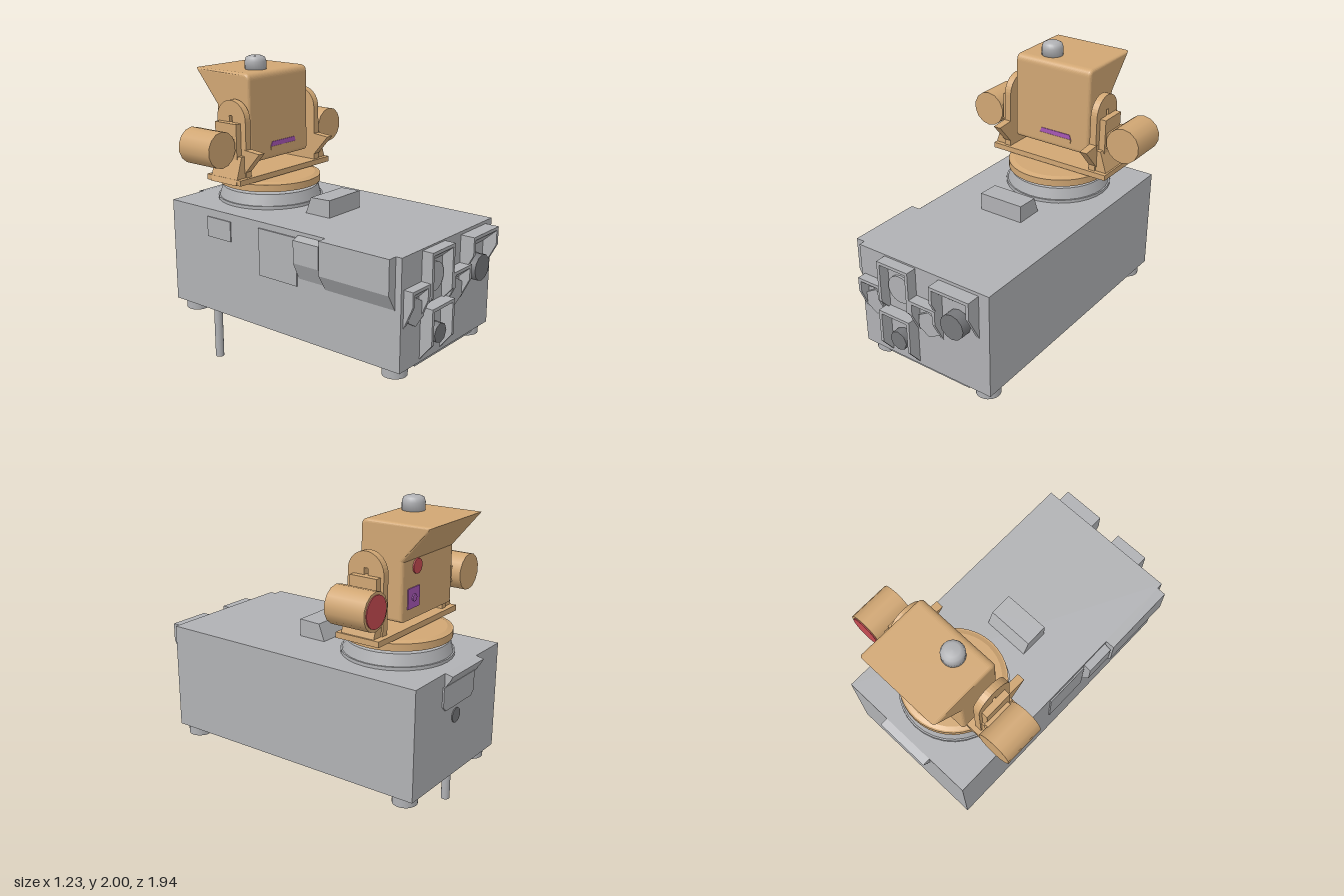
import * as THREE from 'three';

const mat = (name, color, side = THREE.FrontSide) => {
  const m = new THREE.MeshStandardMaterial({ color, side });
  m.name = name;
  return m;
};

export function createModel() {
  const grey = mat('light grey', 0xb0b1b4);
  const dark = mat('dark grey', 0x77787b);
  const tan = mat('tan', 0xd0a673);
  const red = mat('red', 0xc64b52);
  const purple = mat('purple', 0xa656b4);

  const root = new THREE.Group();
  root.name = 'turretOnCabinet';

  const add = (name, geo, m, x = 0, y = 0, z = 0) => {
    const mesh = new THREE.Mesh(geo, m);
    mesh.name = name;
    mesh.position.set(x, y, z);
    root.add(mesh);
    return mesh;
  };
  // Box given by its minimum and maximum on each axis
  const box = (name, m, x0, x1, y0, y1, z0, z1) =>
    add(name, new THREE.BoxGeometry(x1 - x0, y1 - y0, z1 - z0), m, (x0 + x1) / 2, (y0 + y1) / 2, (z0 + z1) / 2);
  // Upright cylinder between two heights
  const post = (name, m, x, z, y0, y1, rTop, rBottom = rTop, n = 24) =>
    add(name, new THREE.CylinderGeometry(rTop, rBottom, y1 - y0, n), m, x, (y0 + y1) / 2, z);
  // Cylinder along z
  const barrel = (name, m, x, y, z0, z1, r, n = 24) =>
    add(name, new THREE.CylinderGeometry(r, r, z1 - z0, n).rotateX(Math.PI / 2), m, x, y, (z0 + z1) / 2);
  // Side profile of [z, y] points, extruded from x0 to x1
  const side = (name, m, profile, x0, x1, bevel = 0) => {
    const shape = profile instanceof THREE.Shape ? profile
      : new THREE.Shape(profile.map(([z, y]) => new THREE.Vector2(z, y)));
    const geo = new THREE.ExtrudeGeometry(shape, {
      depth: x1 - x0 - 2 * bevel, curveSegments: 10, bevelEnabled: bevel > 0,
      bevelSize: bevel, bevelThickness: bevel, bevelOffset: -bevel, bevelSegments: 4,
    });
    return add(name, geo.rotateY(-Math.PI / 2), m, x1 - bevel);
  };
  // Front profile of [x, y] points, extruded from z0 to z1
  const front = (name, m, profile, z0, z1) => {
    const shape = new THREE.Shape(profile.map(([x, y]) => new THREE.Vector2(x, y)));
    return add(name, new THREE.ExtrudeGeometry(shape, { depth: z1 - z0, bevelEnabled: false }), m, 0, 0, z0);
  };

  // Cabinet, underside cover, feet and drain pole
  box('cabinet', grey, -0.475, 0.47, 0.4, 1.08, -0.92, 0.88);
  box('undersideCover', grey, -0.31, 0.31, 0.382, 0.4, -0.2, 0.87);
  box('undersideCoverTab', grey, -0.12, 0.2, 0.382, 0.4, -0.26, -0.2);
  for (const x of [-0.385, 0.385])
    for (const z of [0.785, -0.82]) post('foot', grey, x, z, 0.34, 0.4, 0.075);
  post('supportPole', grey, -0.34, -0.68, 0, 0.4, 0.028, 0.028, 16);

  // Front bays: a sloping hood between two tapered cheeks
  const bay = (x0, x1, top, slope, mid, bottom, depth) => {
    const zf = 0.88 + depth;
    side('bayHood', grey, [[0.87, slope], [zf, top - 0.02], [zf, top], [0.87, top]], x0, x1);
    for (const x of [x0, x1 - 0.02])
      side('bayCheek', grey, [[0.87, bottom], [0.88, bottom], [zf, mid], [zf, top], [0.87, top]], x, x + 0.02);
  };
  bay(-0.28, -0.05, 1.07, 0.98, 0.8, 0.72, 0.07);
  bay(-0.28, -0.05, 0.74, 0.65, 0.52, 0.42, 0.08);
  bay(-0.45, -0.28, 0.89, 0.8, 0.8, 0.66, 0.06);
  bay(-0.05, 0.14, 0.89, 0.8, 0.8, 0.66, 0.07);
  bay(0.12, 0.4, 1.06, 0.95, 0.95, 0.78, 0.09);
  barrel('upperSocket', grey, -0.165, 0.89, 0.88, 0.895, 0.088);
  barrel('leftSocket', grey, 0.05, 0.735, 0.88, 0.9, 0.085, 6);
  barrel('rightSocket', grey, -0.355, 0.735, 0.88, 0.9, 0.085, 6);
  barrel('lowerConnector', dark, -0.16, 0.557, 0.88, 0.94, 0.062, 8);
  barrel('sideConnector', dark, 0.26, 0.835, 0.88, 0.95, 0.082, 12);

  // Raised panels on the right side
  front('sideBulge', grey, [[-0.47, 0.76], [-0.47, 1.08], [-0.535, 1.08], [-0.535, 0.87]], 0.35, 0.84);
  front('sideBulgeSmall', grey, [[-0.47, 0.78], [-0.47, 1.06], [-0.525, 1.04], [-0.525, 0.9]], 0.15, 0.34);
  box('sideHatch', grey, -0.484, -0.47, 0.74, 1.04, -0.16, 0.14);
  box('sideHatchSmall', grey, -0.482, -0.47, 0.9, 1.03, -0.6, -0.4);

  // Back lip, hatch and port
  front('backHatch', grey, [[-0.17, 0.88], [-0.14, 0.85], [0.15, 0.85], [0.18, 0.88], [0.18, 1.0], [-0.17, 1.0]], -0.93, -0.92);
  side('backLip', grey, [[-0.92, 0.99], [-0.92, 1.08], [-0.97, 1.07], [-0.955, 1.04]], -0.2, 0.16);
  barrel('backPort', dark, 0.02, 0.78, -0.926, -0.92, 0.045);

  // Block on the cabinet top
  side('topBlock', grey, [[0.125, 1.08], [-0.06, 1.08], [-0.02, 1.185], [0.125, 1.19]], -0.16, 0.14);

  // Turntable
  post('turntableFlange', grey, 0, -0.5, 1.08, 1.1, 0.34, 0.34, 32);
  post('turntableBase', grey, 0, -0.5, 1.1, 1.17, 0.31, 0.33, 32);
  post('turntablePin', tan, 0, -0.5, 1.16, 1.26, 0.08);
  post('turntableRing', tan, 0, -0.5, 1.19, 1.235, 0.325, 0.325, 40);
  post('turntableRingTop', tan, 0, -0.5, 1.235, 1.245, 0.29, 0.315, 40);

  // Yoke: base plate with mirrored arms and side barrels
  box('yokePlate', tan, -0.42, 0.43, 1.25, 1.285, -0.65, -0.36);
  const arm = new THREE.Shape();
  arm.moveTo(-0.62, 1.25);
  arm.lineTo(-0.38, 1.25);
  arm.lineTo(-0.38, 1.635);
  arm.absarc(-0.5, 1.635, 0.12, 0, Math.PI);
  arm.closePath();
  const slot = new THREE.Path();
  slot.setFromPoints([[-0.515, 1.62], [-0.515, 1.66], [-0.49, 1.66], [-0.49, 1.62]].map(p => new THREE.Vector2(...p)));
  arm.holes.push(slot);
  for (const s of [-1, 1]) {
    const span = (a, b) => (s > 0 ? [a, b] : [-b, -a]);
    side('yokeArm', tan, arm, ...span(0.3, 0.345));
    side('yokeFin', tan, [[-0.39, 1.31], [-0.265, 1.45], [-0.39, 1.46]], ...span(0.3, 0.35));
    front('yokeGusset', tan, [[s * 0.34, 1.25], [s * 0.43, 1.25], [s * 0.375, 1.42], [s * 0.34, 1.42]], -0.61, -0.39);
    box('barrelMount', tan, ...span(0.345, 0.385), 1.4, 1.62, -0.6, -0.42);
    box('barrelBracket', tan, ...span(0.38, 0.43), 1.43, 1.53, -0.62, -0.44);
    barrel('sideBarrel', tan, s * 0.507, 1.482, -0.68, -0.42, 0.113, 14);
    post('pivotBoss', tan, s * 0.285, -0.5, 1.45, 1.53, 0.04, 0.04, 12).rotation.z = Math.PI / 2;
  }
  barrel('barrelLens', red, 0.507, 1.482, -0.686, -0.679, 0.095);

  // Head with overhanging rear visor
  const head = new THREE.Shape();
  head.moveTo(-0.69, 1.355);
  head.lineTo(-0.44, 1.355);
  head.quadraticCurveTo(-0.41, 1.355, -0.41, 1.385);
  head.lineTo(-0.41, 1.87);
  head.quadraticCurveTo(-0.41, 1.915, -0.455, 1.915);
  head.lineTo(-0.87, 1.915);
  head.lineTo(-0.69, 1.7);
  head.closePath();
  side('head', tan, head, -0.28, 0.27, 0.02);

  // Front slot
  front('slotWindow', purple, [[-0.09, 1.435], [0.145, 1.435], [0.135, 1.465], [-0.075, 1.465]], -0.412, -0.406);
  box('slotLedge', tan, -0.09, 0.145, 1.412, 1.435, -0.412, -0.404);

  // Rear sensors
  barrel('rearLens', red, 0.12, 1.655, -0.698, -0.689, 0.045, 16);
  box('rearSensor', purple, 0.09, 0.21, 1.42, 1.54, -0.696, -0.688);
  barrel('rearSensorDot', purple, 0.15, 1.48, -0.703, -0.695, 0.022, 12);

  // Rounded knob on the head
  const knob = [[0, 1.9], [0.068, 1.9], [0.068, 1.965], [0.06, 1.988], [0.04, 1.998], [0, 2]];
  add('topKnob', new THREE.LatheGeometry(knob.map(p => new THREE.Vector2(...p)), 24), grey, -0.085, 0, -0.53);

  // Mirrored profiles may wind either way; ExtrudeGeometry corrects them
  return root;
}
